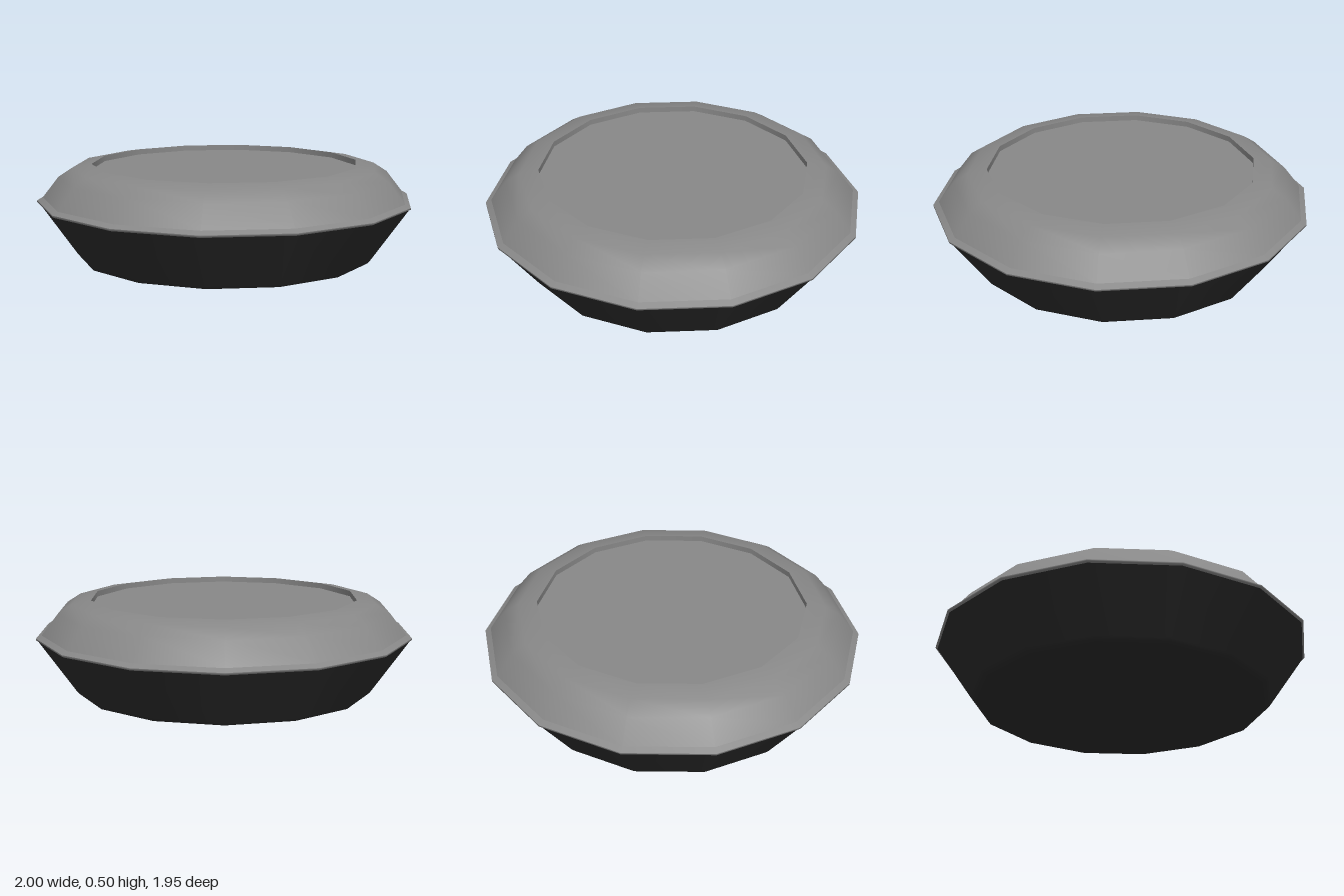
import * as THREE from 'three';

const SIDES = 14;
const grey = new THREE.MeshStandardMaterial({ color: 0x888888 });
const dark = new THREE.MeshStandardMaterial({ color: 0x2c2c2c });

// Revolve a profile of [radius, height] pairs, with a corner on the x axis
function ring(name, material, profile) {
  const points = profile.map(([r, y]) => new THREE.Vector2(r, y));
  const mesh = new THREE.Mesh(new THREE.LatheGeometry(points, SIDES, Math.PI / 2), material);
  mesh.name = name;
  return mesh;
}

export function createModel() {
  const model = new THREE.Group();
  model.name = 'roundPuck';

  // Dark tapered base with a softened foot
  const base = new THREE.Group();
  base.name = 'base';
  base.add(
    ring('baseUnderside', dark, [[0, 0], [0.765, 0]]),
    ring('baseWall', dark, [[0.765, 0], [0.785, 0.005], [0.797, 0.02], [0.99, 0.297]])
  );

  // Thin rim between base and cover, split so its edges stay sharp
  const rim = new THREE.Group();
  rim.name = 'rim';
  rim.add(
    ring('rimEdge', grey, [[0.99, 0.297], [1, 0.302], [1, 0.31]]),
    ring('rimTop', grey, [[1, 0.31], [0.97, 0.326]])
  );

  // Rounded cover with a shallow recess holding a flat panel
  const cover = new THREE.Group();
  cover.name = 'cover';
  cover.add(
    ring('coverDome', grey, [[0.97, 0.326], [0.885, 0.435], [0.81, 0.483], [0.71, 0.5]]),
    ring('recessWall', grey, [[0.71, 0.5], [0.71, 0.47]]),
    ring('topPanel', grey, [[0.71, 0.47], [0, 0.47]])
  );

  model.add(base, rim, cover);
  return model;
}
